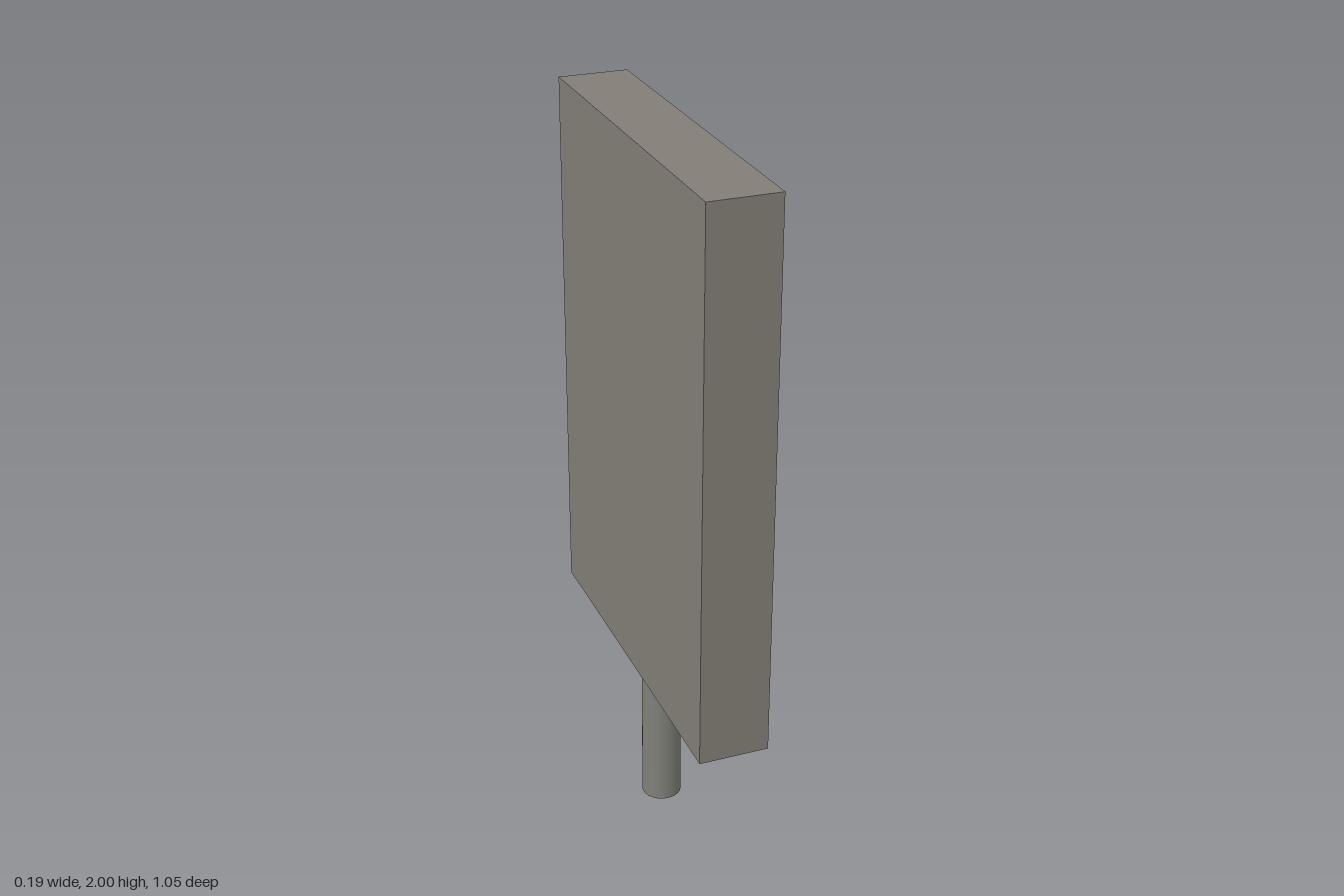
import * as THREE from 'three';

const HALF_DEPTH = 0.097, HALF_WIDTH = 0.524, BOTTOM = 0.464, TOP = 2;
const OPEN_HALF = 0.42, OPEN_BOTTOM = 0.565, OPEN_TOP = 1.898;
const RECESS = 0.015;

function rectangle(target, half, y0, y1) {
  target.moveTo(-half, y0);
  target.lineTo(half, y0);
  target.lineTo(half, y1);
  target.lineTo(-half, y1);
  target.closePath();
  return target;
}

export function createModel() {
  const group = new THREE.Group();
  const casing = new THREE.MeshStandardMaterial({ color: 0x827e76 });
  const glass = new THREE.MeshStandardMaterial({ color: 0x28accc });
  const metal = new THREE.MeshStandardMaterial({ color: 0x7f8077, side: THREE.DoubleSide });

  const add = (name, geometry, material, x, y, z) => {
    const mesh = new THREE.Mesh(geometry, material);
    mesh.name = name;
    mesh.position.set(x, y, z);
    group.add(mesh);
  };

  // Solid back of the display box
  const bodyDepth = 2 * HALF_DEPTH - RECESS;
  add('displayBody', new THREE.BoxGeometry(bodyDepth, TOP - BOTTOM, 2 * HALF_WIDTH), casing,
    -RECESS / 2, (TOP + BOTTOM) / 2, 0);

  // Raised rim around the screen, facing +x
  const rim = rectangle(new THREE.Shape(), HALF_WIDTH, BOTTOM, TOP);
  rim.holes.push(rectangle(new THREE.Path(), OPEN_HALF, OPEN_BOTTOM, OPEN_TOP));
  const rimGeometry = new THREE.ExtrudeGeometry(rim, { depth: RECESS, bevelEnabled: false });
  rimGeometry.rotateY(Math.PI / 2);
  add('screenRim', rimGeometry, casing, HALF_DEPTH - RECESS, 0, 0);

  // Recessed screen
  const screen = new THREE.PlaneGeometry(2 * OPEN_HALF, OPEN_TOP - OPEN_BOTTOM);
  screen.rotateY(Math.PI / 2);
  add('screen', screen, glass, HALF_DEPTH - RECESS + 0.001, (OPEN_TOP + OPEN_BOTTOM) / 2, 0);

  // Hollow post, open at the foot
  add('post', new THREE.CylinderGeometry(0.056, 0.056, BOTTOM, 32, 1, true), metal,
    -0.004, BOTTOM / 2, 0.002);

  return group;
}
